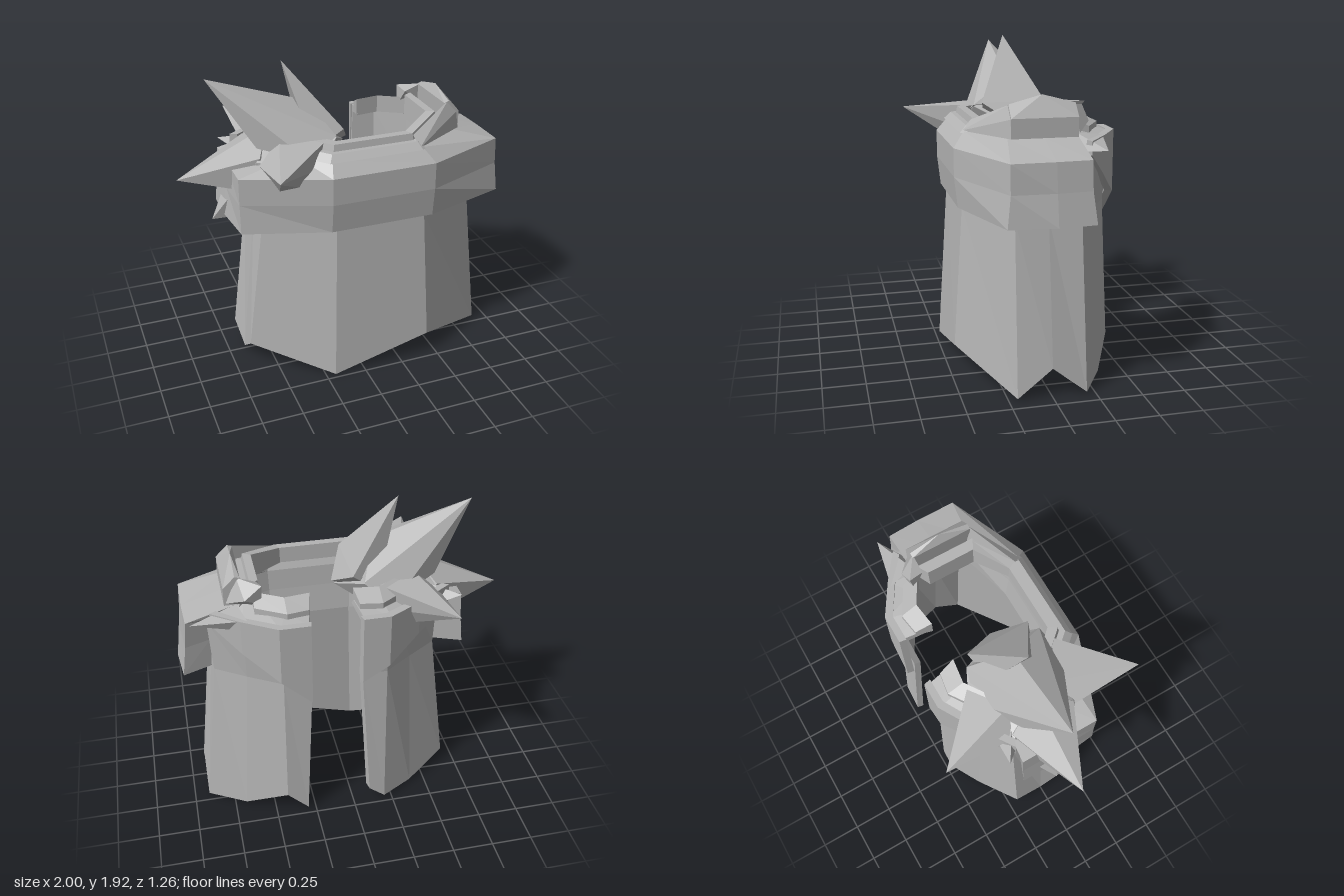
import * as THREE from 'three';
import { ConvexGeometry } from 'three/addons/geometries/ConvexGeometry.js';

const cloth = new THREE.MeshStandardMaterial({ color: 0xb4b4b4, flatShading: true, side: THREE.DoubleSide });
cloth.name = 'plain grey';

// Surface through equal-length rows of points; a closed profile gets end caps
function loft(rows, closed = true) {
  const pos = [];
  const tri = (a, b, c) => pos.push(...a, ...b, ...c);
  const n = rows.length;
  for (let r = 0; r < (closed ? n : n - 1); r++) {
    const a = rows[r], b = rows[(r + 1) % n];
    for (let i = 0; i < a.length - 1; i++) {
      tri(a[i], a[i + 1], b[i + 1]);
      tri(a[i], b[i + 1], b[i]);
    }
  }
  if (closed) {
    const last = rows[0].length - 1;
    for (let r = 0; r < n / 2 - 1; r++) {
      const p = rows[r], q = rows[r + 1], s = rows[n - 2 - r], t = rows[n - 1 - r];
      tri(p[0], q[0], s[0]);
      tri(p[0], s[0], t[0]);
      tri(p[last], s[last], q[last]);
      tri(p[last], t[last], s[last]);
    }
  }
  const g = new THREE.BufferGeometry();
  g.setAttribute('position', new THREE.Float32BufferAttribute(pos, 3));
  g.computeVertexNormals();
  return g;
}

const hull = (pts) => new ConvexGeometry(pts.map((p) => new THREE.Vector3(...p)));
// Outline of [x, z] pairs raised to height y (number or per-point list)
const raise = (line, y) => line.map(([x, z], i) => [x, Array.isArray(y) ? y[i] : y, z]);
// Moves a row of points toward the middle
const CX = 0.13;
const inset = (row, d, dy = 0) =>
  row.map(([x, y, z]) => [CX + (x - CX) * (1 - d / 0.7), y + dy, z * (1 - d / 0.45)]);
// Mirrors the points that lie off the middle plane
const both = (pts) => pts.flatMap(([x, y, z]) => (z ? [[x, y, z], [x, y, -z]] : [[x, y, z]]));

export function createModel() {
  const model = new THREE.Group();
  const add = (name, geometry) => {
    const m = new THREE.Mesh(geometry, cloth);
    m.name = name;
    model.add(m);
  };

  // Draped cape, open at the back, with a ragged hem
  const hem = raise(
    [[0.3, -0.47], [0.43, -0.47], [0.68, -0.34], [0.91, -0.2], [0.91, 0], [0.91, 0.2], [0.43, 0.47],
      [-0.19, 0.47], [-0.66, 0.2], [-0.65, 0], [-0.66, -0.2], [-0.4, -0.36], [-0.2, -0.47], [-0.1, -0.47]],
    [0.02, 0.15, 0.02, 0.01, 0.17, 0.01, 0.16, 0, 0.17, 0.02, 0.1, 0.02, 0.02, 0.1]);
  const waist = raise(
    [[0.25, -0.43], [0.42, -0.43], [0.62, -0.31], [0.8, -0.19], [0.8, 0], [0.8, 0.19], [0.4, 0.41],
      [-0.16, 0.41], [-0.55, 0.19], [-0.55, 0], [-0.55, -0.19], [-0.37, -0.31], [-0.2, -0.43], [-0.05, -0.43]], 1);
  const shoulder = raise(
    [[0.27, -0.47], [0.43, -0.47], [0.63, -0.35], [0.82, -0.2], [0.82, 0], [0.82, 0.2], [0.4, 0.41],
      [-0.17, 0.41], [-0.56, 0.2], [-0.56, 0], [-0.56, -0.2], [-0.38, -0.37], [-0.2, -0.47], [-0.05, -0.47]],
    [1.41, 1.41, 1.39, 1.34, 1.34, 1.34, 1.34, 1.34, 1.34, 1.34, 1.34, 1.39, 1.41, 1.41]);
  const neck = raise(
    [[0.24, -0.3], [0.38, -0.33], [0.5, -0.27], [0.6, -0.2], [0.6, 0], [0.6, 0.2], [0.38, 0.38],
      [-0.18, 0.38], [-0.32, 0.22], [-0.35, 0], [-0.32, -0.2], [-0.26, -0.27], [-0.18, -0.33], [-0.02, -0.3]], 1.44);
  add('cape', loft([hem, waist, shoulder, neck, inset(neck, 0.03, -0.03), inset(shoulder, 0.04, -0.04),
    inset(waist, 0.04), inset(hem, 0.04, 0.01)]));

  // Thick mantle band around the shoulders
  const bandLow = raise([[0.98, -0.22], [1, 0], [0.97, 0.27], [0.44, 0.44], [-0.2, 0.44], [-0.7, 0.28],
    [-0.73, 0], [-0.73, -0.22]], 1);
  const bandTop = raise([[0.94, -0.2], [0.95, 0], [0.95, 0.25], [0.44, 0.46], [-0.2, 0.46], [-0.7, 0.27],
    [-0.7, 0], [-0.7, -0.22]], 1.345);
  const bandMid = bandLow.map((p, i) => [p[0] * 0.35 + bandTop[i][0] * 0.65, 1.18, bandTop[i][2]]);
  const bandRoof = raise([[0.66, -0.2], [0.68, 0], [0.66, 0.2], [0.38, 0.39], [-0.18, 0.39], [-0.36, 0.24],
    [-0.38, 0], [-0.36, -0.2]], 1.43);
  add('mantle band', loft([bandLow, bandMid, bandTop, bandRoof, inset(bandRoof, 0.03, -0.05),
    inset(bandTop, 0.12, -0.03), inset(bandMid, 0.13), inset(bandLow, 0.14)]));

  // Diagonal lappets beside the back opening
  const lappet = (name, line, low) => {
    const top = raise(line, 1.42), bottom = raise(line, low);
    add(name, loft([bottom, top, inset(top, 0.04), inset(bottom, 0.04)]));
  };
  lappet('left lappet', [[0.26, -0.485], [0.44, -0.485], [0.64, -0.36], [0.8, -0.24]], [0.88, 1.05, 1.2, 1.34]);
  lappet('right lappet', [[-0.04, -0.485], [-0.2, -0.485], [-0.4, -0.37], [-0.62, -0.22]], [0.98, 1.08, 1.2, 1.28]);

  // Stepped neck collar
  const collarLine = [[0.6, -0.2], [0.6, 0.2], [0.36, 0.38], [-0.18, 0.38], [-0.32, 0.22]];
  const collarSteps = [[1.08, 1.42], [0.98, 1.46], [0.9, 1.46], [0.88, 1.5], [0.75, 1.5], [0.74, 1.4]];
  add('neck collar', loft(collarSteps.map(([s, y]) => collarLine.map(([x, z]) =>
    [CX + (x - CX) * (0.2 + 0.8 * s), y + (x > 0.5 && y > 1.43 ? 0.05 : 0), z * s]))));

  // Folded collar ends behind the neck
  for (const [name, xs] of [['left collar end', [0.23, 0.38, 0.55]], ['right collar end', [-0.02, -0.17, -0.32]]]) {
    const line = xs.map((x, i) => [x, [-0.28, -0.3, -0.2][i]]);
    const wide = xs.map((x, i) => [x + (i === 0 ? 0.02 * Math.sign(x) : 0), [-0.38, -0.4, -0.3][i]]);
    add(name, loft([raise(wide, 1.42), raise(wide, 1.46), raise(line, 1.51), raise(line, 1.4)]));
  }

  // Raised guard on the left of the neck
  add('neck guard', hull(both([[0.71, 1.43, 0.19], [0.71, 1.54, 0.19], [0.64, 1.61, 0.19], [0.64, 1.66, 0],
    [0.61, 1.6, 0.19], [0.62, 1.43, 0.19]])));
  add('neck guard front', hull([[0.64, 1.61, 0.18], [0.71, 1.54, 0.18], [0.71, 1.43, 0.19], [0.61, 1.45, 0.17],
    [0.34, 1.49, 0.34], [0.36, 1.43, 0.4]]));
  add('neck guard back', hull([[0.63, 1.6, -0.18], [0.5, 1.58, -0.27], [0.6, 1.5, -0.28], [0.7, 1.45, -0.2],
    [0.5, 1.45, -0.25], [0.52, 1.56, -0.18]]));
  add('left back point', hull([[0.92, 1.385, -0.29], [0.64, 1.44, -0.2], [0.6, 1.42, -0.36], [0.78, 1.36, -0.2],
    [0.65, 1.34, -0.32]]));

  // Spiked shoulder guard on the right
  add('shoulder guard', hull(both([[-0.1, 1.5, 0.24], [-0.28, 1.35, 0.33], [-0.3, 1.24, 0.28], [-0.46, 1.22, 0.26],
    [-0.57, 1.4, 0.2], [-0.43, 1.54, 0], [-0.2, 1.62, 0], [0.03, 1.38, 0], [-0.6, 1.25, 0.12]])));
  add('tall outer spike', hull(both([[-0.8, 1.86, 0], [-0.2, 1.66, 0], [-0.1, 1.51, 0.24], [-0.28, 1.4, 0.29],
    [-0.55, 1.46, 0.14], [-0.43, 1.5, 0]])));
  add('tall inner spike', hull(both([[-0.35, 1.92, 0], [-0.22, 1.62, 0.08], [-0.04, 1.53, 0.2], [0.05, 1.4, 0],
    [-0.2, 1.4, 0.15]])));
  add('side spike', hull(both([[-1, 1.27, 0], [-0.45, 1.53, 0], [-0.55, 1.42, 0.2], [-0.66, 1.21, 0.13],
    [-0.4, 1.22, 0.15]])));
  for (const s of [1, -1]) {
    add(s > 0 ? 'front spike' : 'back spike', hull([[-0.56, 1.45, 0.63], [-0.27, 1.36, 0.34], [-0.31, 1.24, 0.3],
      [-0.46, 1.22, 0.27], [-0.56, 1.38, 0.2], [-0.42, 1.5, 0.16], [-0.18, 1.5, 0.27]]
      .map(([x, y, z]) => [x, y, z * s])));
  }

  // Small shards under the shoulder guard
  add('lower shard', hull([[-0.8, 0.965, -0.03], [-0.56, 1, 0.05], [-0.71, 1.12, 0.04], [-0.71, 1.1, -0.12],
    [-0.56, 1, -0.12]]));
  add('back shard', hull([[-0.68, 1.38, -0.29], [-0.5, 1.42, -0.18], [-0.48, 1.32, -0.28], [-0.56, 1.3, -0.16]]));
  return model;
}
